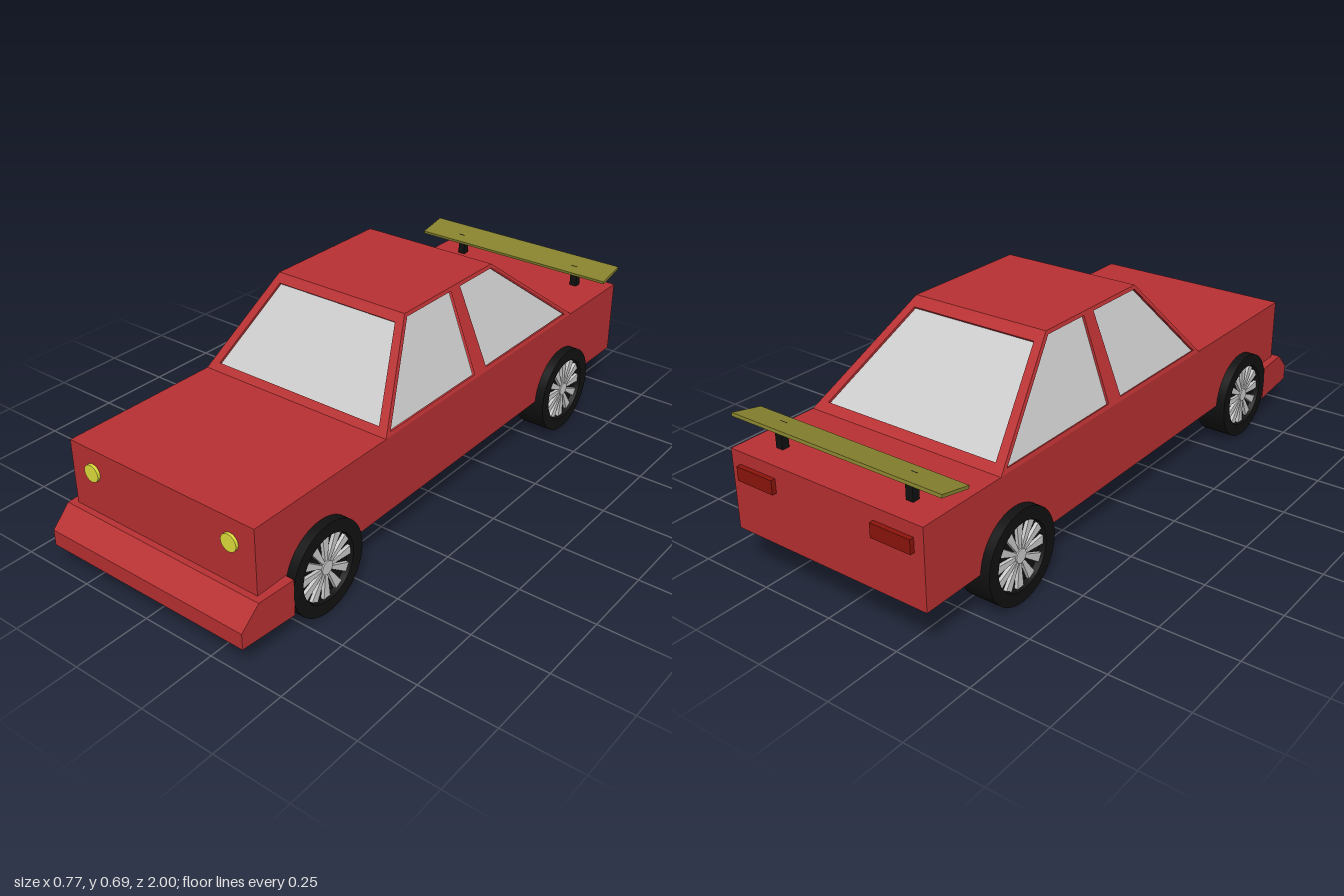
import * as THREE from 'three';
import { toCreasedNormals } from 'three/addons/utils/BufferGeometryUtils.js';

const mat = (color) => new THREE.MeshStandardMaterial({ color, flatShading: true });
const smooth = (color) => new THREE.MeshStandardMaterial({ color });
const V = (x, y, z) => new THREE.Vector3(x, y, z);

export function createModel() {
  const car = new THREE.Group();
  car.name = 'car';
  const red = mat(0xb83032), black = smooth(0x111111), grey = mat(0xcccccc);
  const glass = new THREE.MeshStandardMaterial({ color: 0xcccccc, side: THREE.DoubleSide });
  const yellow = smooth(0xdede3c), olive = mat(0x86822f), tail = mat(0x8c140a);

  const add = (parent, name, geo, material, x = 0, y = 0, z = 0) => {
    const m = new THREE.Mesh(geo, material);
    m.name = name;
    m.position.set(x, y, z);
    parent.add(m);
    return m;
  };
  const box = (name, material, w, h, d, x, y, z) =>
    add(car, name, new THREE.BoxGeometry(w, h, d), material, x, y, z);
  const points = (list) => list.map(([x, y]) => new THREE.Vector2(x, y));

  // Lower body
  box('body', red, 0.704, 0.255, 1.9, 0, 0.2825, -0.035);

  // Cabin: four sloping window frames with slightly recessed panes
  const base = 0.41, rise = 0.275;
  const panel = (name, origin, across, up, outline, holes) => {
    const normal = V().crossVectors(across, up).normalize();
    const place = new THREE.Matrix4().makeBasis(across, up, normal).setPosition(origin);
    const frame = new THREE.Shape(points(outline));
    holes.forEach((h) => frame.holes.push(new THREE.Path(points(h))));
    const geo = new THREE.ExtrudeGeometry(frame, { depth: 0.014, bevelEnabled: false });
    add(car, name + 'Frame', geo.translate(0, 0, -0.014).applyMatrix4(place), red);
    holes.forEach((h) => {
      const pane = new THREE.ShapeGeometry(new THREE.Shape(points(h)));
      add(car, name + 'Glass', pane.translate(0, 0, -0.008).applyMatrix4(place), glass);
    });
  };
  const endOutline = [[-0.352, 0], [0.352, 0], [0.242, rise], [-0.242, rise]];
  const endHole = [[-0.313, 0.021], [0.313, 0.021], [0.223, 0.25], [-0.223, 0.25]];
  panel('windscreen', V(0, base, 0.365), V(1, 0, 0), V(0, 1, -0.23 / rise), endOutline, [endHole]);
  panel('rearWindow', V(0, base, -0.675), V(-1, 0, 0), V(0, 1, 0.35 / rise), endOutline, [endHole]);

  const sideOutline = [[0.365, 0], [0.135, rise], [-0.325, rise], [-0.675, 0]];
  const sideHoles = [
    [[0.338, 0.012], [0.128, 0.264], [-0.095, 0.264], [-0.092, 0.012]],
    [[-0.156, 0.012], [-0.144, 0.264], [-0.32, 0.264], [-0.642, 0.012]],
  ];
  for (const s of [1, -1]) {
    const flip = (list) => list.map(([z, y]) => [-s * z, y]);
    panel(s > 0 ? 'leftWindows' : 'rightWindows', V(s * 0.352, base, 0), V(0, 0, -s),
      V(-s * 0.11 / rise, 1, 0), flip(sideOutline), sideHoles.map(flip));
  }
  box('roof', red, 0.484, 0.014, 0.46, 0, base + rise - 0.007, -0.095);

  // Front bumper: side profile extruded across, narrowing towards the nose
  const profile = points([[0.805, 0.08], [1, 0.085], [1, 0.137], [0.935, 0.198], [0.805, 0.198]]);
  const bumper = new THREE.ExtrudeGeometry(new THREE.Shape(profile), { depth: 0.764, bevelEnabled: false });
  bumper.translate(0, 0, -0.382).rotateY(-Math.PI / 2);
  const p = bumper.attributes.position;
  for (let i = 0; i < p.count; i++) p.setX(i, p.getX(i) * (1 - 0.15 * (p.getZ(i) - 0.805)));
  bumper.computeVertexNormals();
  add(car, 'frontBumper', bumper, red);

  // Lamps and spoiler posts, in mirrored pairs
  for (const s of [1, -1]) {
    const lamp = new THREE.CylinderGeometry(0.028, 0.028, 0.02, 32).rotateX(Math.PI / 2);
    add(car, 'headlight', lamp, yellow, s * 0.265, 0.334, 0.914);
    box('tailLight', tail, 0.138, 0.045, 0.025, s * 0.25, 0.347, -0.9875);
    box('spoilerPost', mat(0x111111), 0.025, 0.08, 0.025, s * 0.24, 0.445, -0.897);
  }
  // Spoiler blade, tipped up at the back
  box('spoiler', olive, 0.765, 0.01, 0.106, -0.004, 0.482, -0.898).rotation.x = 0.2;

  // Wheels: dished tyre, hub and wedge spokes, outer side towards +x
  const tyre = toCreasedNormals(new THREE.LatheGeometry(points([
    [0, 0], [0.148, 0], [0.148, 0.105], [0.108, 0.105], [0.106, 0.085], [0, 0.085],
  ]), 40).rotateZ(-Math.PI / 2), 0.6);
  const hub = new THREE.CylinderGeometry(0.022, 0.022, 0.016, 20).rotateZ(-Math.PI / 2);
  const wedge = new THREE.Shape(points([[-0.004, 0.015], [0.004, 0.015], [0.014, 0.104], [-0.014, 0.104]]));
  const spoke = new THREE.ExtrudeGeometry(wedge, { depth: 0.012, bevelEnabled: false }).rotateY(Math.PI / 2);
  const spokes = 12;
  for (const [end, z] of [['front', 0.66], ['rear', -0.622]]) {
    for (const s of [1, -1]) {
      const wheel = new THREE.Group();
      wheel.name = end + (s > 0 ? 'LeftWheel' : 'RightWheel');
      add(wheel, 'tyre', tyre, black);
      add(wheel, 'hub', hub, grey, 0.092);
      for (let i = 0; i < spokes; i++) {
        add(wheel, 'spoke', spoke, grey, 0.084).rotation.x = (i / spokes) * Math.PI * 2;
      }
      wheel.position.set(s * 0.277, 0.148, z);
      if (s < 0) wheel.rotation.y = Math.PI;
      car.add(wheel);
    }
  }
  return car;
}
